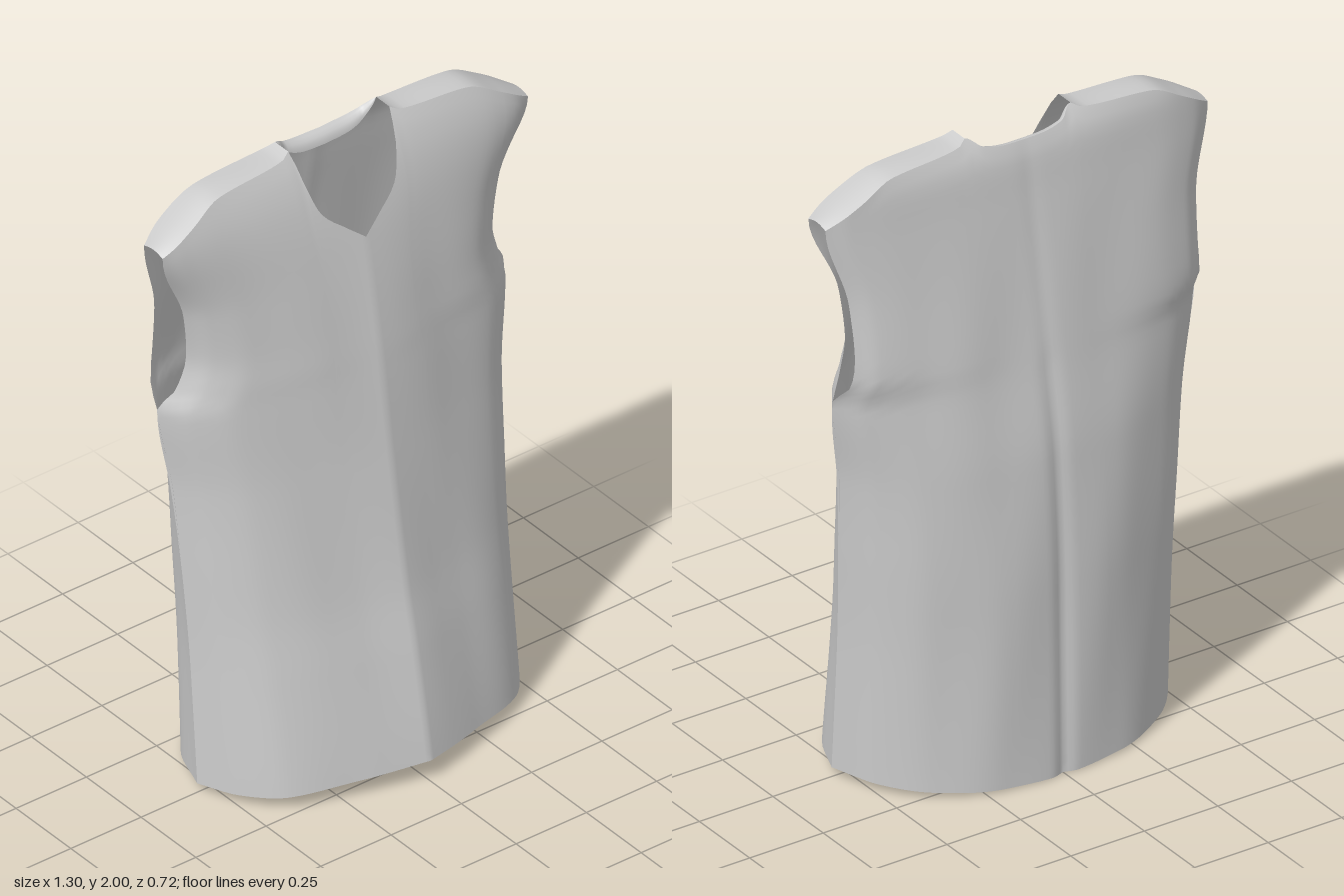
import * as THREE from 'three';

// Smooth curve through [t, value] points that never overshoots them
function curve(pts) {
  const n = pts.length;
  const d = pts.slice(1).map((p, i) => (p[1] - pts[i][1]) / (p[0] - pts[i][0]));
  const m = pts.map((p, i) => {
    if (i === 0) return d[0];
    if (i === n - 1) return d[n - 2];
    return d[i - 1] * d[i] <= 0 ? 0 : (2 * d[i - 1] * d[i]) / (d[i - 1] + d[i]);
  });
  return (t) => {
    t = Math.min(Math.max(t, pts[0][0]), pts[n - 1][0]);
    let i = 0;
    while (i < n - 2 && t > pts[i + 1][0]) i++;
    const h = pts[i + 1][0] - pts[i][0], s = (t - pts[i][0]) / h, r = 1 - s;
    return pts[i][1] * (1 + 2 * s) * r * r + m[i] * h * s * r * r
      + pts[i + 1][1] * s * s * (3 - 2 * s) - m[i + 1] * h * s * s * r;
  };
}

const NECK = 0.277; // where the neck meets the shoulder, as a share of half width
const shoulderLine = [[NECK, 2.0], [0.32, 1.985], [0.68, 1.965], [0.85, 1.91], [1, 1.85]];

const front = {
  hem: curve([[0, 0.07], [0.5, 0.055], [1, 0.03]]),
  top: curve([[0, 1.7], [0.1, 1.75], [0.2, 1.81], [0.255, 1.92], ...shoulderLine]),
  width: curve([[0, 0.55], [0.4, 0.552], [0.8, 0.567], [1, 0.58], [1.28, 0.615],
    [1.34, 0.575], [1.45, 0.545], [1.6, 0.56], [1.85, 0.65], [2, 0.65]]),
  edge: curve([[0.03, 0], [0.7, -0.05], [1.28, -0.1], [1.35, -0.07], [1.5, -0.055],
    [1.7, -0.045], [1.85, -0.03], [2, -0.06]]),
  mid: curve([[0, 0.37], [0.07, 0.36], [0.4, 0.295], [0.6, 0.25], [1, 0.185], [1.4, 0.125],
    [1.7, 0.065], [1.85, 0.02], [1.95, -0.025], [2, -0.06]]),
  bulge: curve([[0, 1], [0.2, 0.92], [0.36, 0.85], [0.73, 0.63], [0.91, 0.33], [1, 0]]),
};
const back = {
  hem: curve([[0, 0], [0.5, 0.01], [1, 0.03]]),
  top: curve([[0, 1.955], [0.1, 1.957], [0.2, 1.968], ...shoulderLine]),
  width: curve([[0, 0.55], [0.4, 0.552], [0.8, 0.567], [1, 0.58], [1.28, 0.615],
    [1.36, 0.59], [1.45, 0.583], [1.6, 0.59], [1.85, 0.65], [2, 0.65]]),
  edge: curve([[0.03, 0], [0.7, -0.05], [1.28, -0.1], [1.34, -0.155], [1.4, -0.165],
    [1.6, -0.145], [1.85, -0.115], [2, -0.12]]),
  mid: curve([[0, -0.36], [0.6, -0.352], [1, -0.325], [1.3, -0.275], [1.6, -0.225],
    [1.8, -0.19], [1.92, -0.168], [1.97, -0.145], [2, -0.12]]),
  bulge: curve([[0, 0.96], [0.08, 1], [0.36, 0.95], [0.7, 0.73], [0.9, 0.4], [1, 0]]),
};

// Point on a panel: u runs -1..1 across, v runs 0..1 from hem to top
function panelPoint(p, u, v) {
  const a = Math.abs(u);
  const y = THREE.MathUtils.lerp(p.hem(a), p.top(a), v);
  const edge = p.edge(y);
  const soft = 0.004 * Math.sin(u * 11 + y * 2) * Math.sin(y * 3.2 + u) * (1 - a ** 4) * (1 - v ** 6);
  return new THREE.Vector3(u * p.width(y), y, edge + (p.mid(y) - edge) * p.bulge(a) + soft);
}

// Grid surface over the columns us and rows 0..1
function grid(us, rows, point, flip) {
  const pos = [], index = [], n = us.length;
  for (let j = 0; j <= rows; j++) {
    for (const u of us) pos.push(...point(u, j / rows).toArray());
  }
  for (let j = 0; j < rows; j++) {
    for (let i = 0; i < n - 1; i++) {
      const a = j * n + i, b = a + 1, c = a + n, d = c + 1;
      if (flip) index.push(a, c, b, b, c, d);
      else index.push(a, b, c, b, d, c);
    }
  }
  const g = new THREE.BufferGeometry();
  g.setAttribute('position', new THREE.Float32BufferAttribute(pos, 3));
  g.setIndex(index);
  g.computeVertexNormals();
  return g;
}

function steps(from, to, count) {
  return Array.from({ length: count + 1 }, (_, i) => from + ((to - from) * i) / count);
}

export function createModel() {
  const group = new THREE.Group();
  group.name = 'sleevelessShirt';
  const cloth = new THREE.MeshStandardMaterial({ color: 0xcccccc, side: THREE.DoubleSide });
  const add = (name, geometry) => {
    const mesh = new THREE.Mesh(geometry, cloth);
    mesh.name = name;
    group.add(mesh);
  };

  // Columns, closer together at the neck corners and side seams
  const neck = [...steps(0, 0.2, 8), ...steps(0.215, NECK, 5)];
  const shoulder = [...steps(NECK, 0.85, 16), ...steps(0.87, 1, 7)];
  const half = [...neck, ...shoulder.slice(1)];
  const mirror = (us) => [...us.slice(1).reverse().map((u) => -u), ...us];

  add('frontPanel', grid(mirror(half), 64, (u, v) => panelPoint(front, u, v), false));
  add('backPanel', grid(mirror(half), 64, (u, v) => panelPoint(back, u, v), true));

  // Shoulders: a low arch from the front top edge to the back top edge
  const arch = (u, s) => {
    const p = panelPoint(front, u, 1).lerp(panelPoint(back, u, 1), s);
    p.y += 0.012 * Math.sin(Math.PI * s) * (Math.abs(u) - NECK);
    return p;
  };
  add('leftShoulder', grid(shoulder, 6, arch, false));
  add('rightShoulder', grid(shoulder.map((u) => -u).reverse(), 6, arch, false));

  // Back neckline turned over to the inside
  const fold = (u, s) => {
    const p = panelPoint(back, u, 1);
    const k = 1 - (Math.abs(u) / NECK) ** 4;
    p.z += 0.035 * k * Math.sin((s * Math.PI) / 2);
    p.y -= 0.035 * k * (1 - Math.cos((s * Math.PI) / 2));
    return p;
  };
  add('backNeckFold', grid(mirror(neck), 4, fold, true));

  return group;
}
